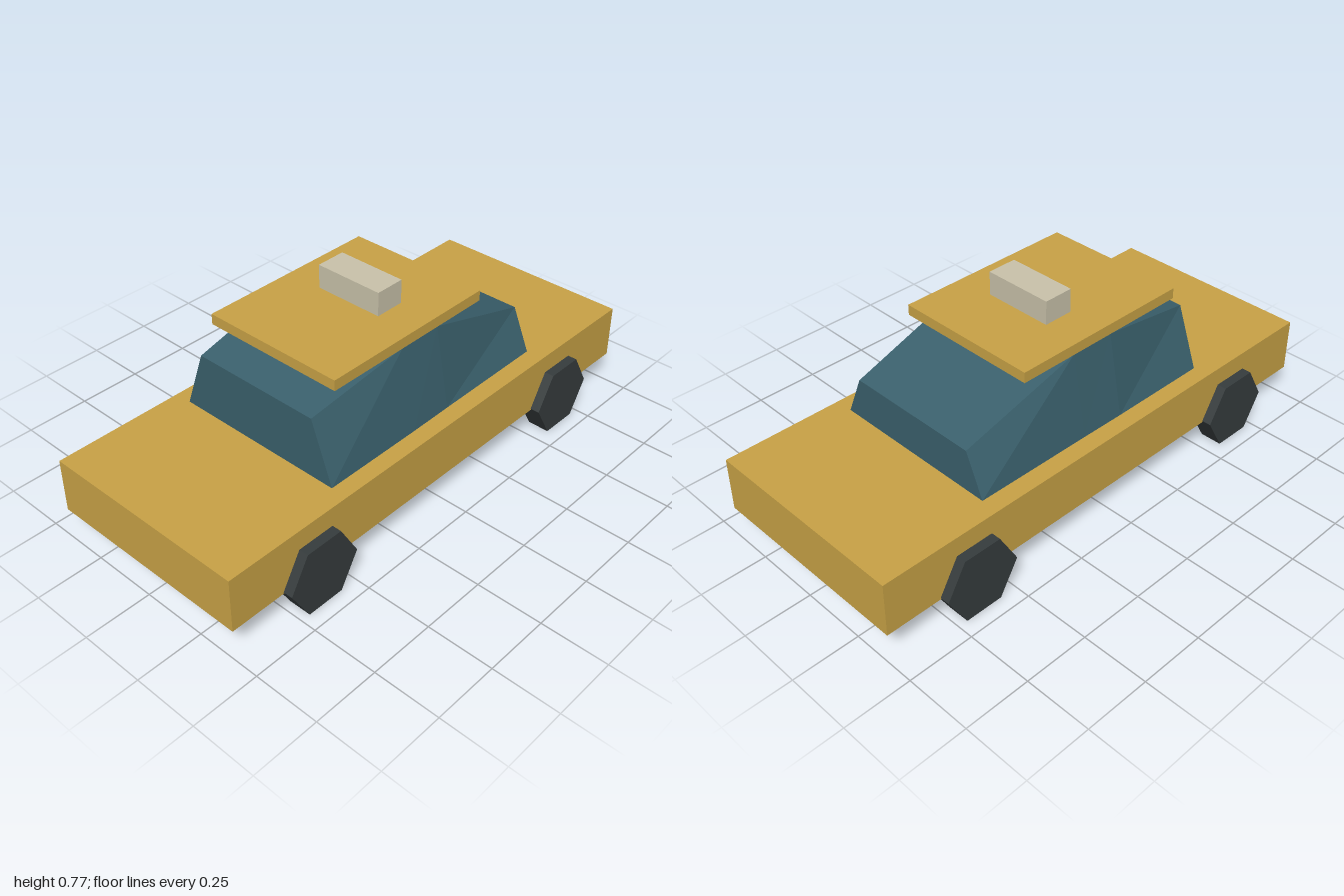
import * as THREE from 'three';

const flat = (name, color) => {
  const m = new THREE.MeshStandardMaterial({ color, flatShading: true });
  m.name = name;
  return m;
};

// Closed loft through four-cornered sections, listed from front to back
function loftCabin(sections) {
  const rings = sections.map(([z, bottomHalf, bottomY, topHalf, topY]) => [
    [-bottomHalf, bottomY, z], [bottomHalf, bottomY, z],
    [topHalf, topY, z], [-topHalf, topY, z],
  ]);
  const pos = [];
  const quad = (a, b, c, d) => pos.push(...a, ...b, ...c, ...a, ...c, ...d);
  for (let s = 0; s < rings.length - 1; s++) {
    const a = rings[s], b = rings[s + 1];
    for (let i = 0; i < 4; i++) {
      const j = (i + 1) % 4;
      quad(a[i], b[i], b[j], a[j]);
    }
  }
  const last = rings[rings.length - 1];
  quad(...rings[0]);
  quad(last[3], last[2], last[1], last[0]);
  const geo = new THREE.BufferGeometry();
  geo.setAttribute('position', new THREE.Float32BufferAttribute(pos, 3));
  geo.computeVertexNormals();
  return geo;
}

export function createModel() {
  const car = new THREE.Group();
  car.name = 'taxi';

  const yellow = flat('taxi yellow', 0xc8a246);
  const glass = flat('teal glass', 0x3a606c);
  const rubber = flat('dark rubber', 0x363c3d);
  const cream = flat('cream', 0xc9c2aa);

  const add = (name, geo, mat, x, y, z) => {
    const mesh = new THREE.Mesh(geo, mat);
    mesh.name = name;
    mesh.position.set(x, y, z);
    car.add(mesh);
    return mesh;
  };

  // Body slab, overhanging roof and roof sign
  add('body', new THREE.BoxGeometry(0.81, 0.207, 2), yellow, 0, 0.225, 0);
  add('roof', new THREE.BoxGeometry(0.562, 0.04, 0.72), yellow, 0, 0.655, 0.06);
  add('roofSign', new THREE.BoxGeometry(0.27, 0.09, 0.115), cream, 0, 0.72, 0);

  // Glass cabin: front, start and end of the crown, rear
  add('cabin', loftCabin([
    [0.5, 0.34, 0.328, 0.255, 0.56],
    [0.1, 0.34, 0.328, 0.28, 0.636],
    [-0.075, 0.338, 0.328, 0.28, 0.636],
    [-0.54, 0.335, 0.328, 0.265, 0.49],
  ]), glass, 0, 0, 0);

  // Six-sided wheels
  const wheelGeo = new THREE.CylinderGeometry(0.147, 0.147, 0.085, 6).rotateZ(Math.PI / 2);
  for (const [side, x] of [['Left', 0.399], ['Right', -0.399]]) {
    for (const [end, z] of [['front', 0.64], ['rear', -0.64]]) {
      add(`${end}${side}Wheel`, wheelGeo, rubber, x, 0.1273, z);
    }
  }
  return car;
}
